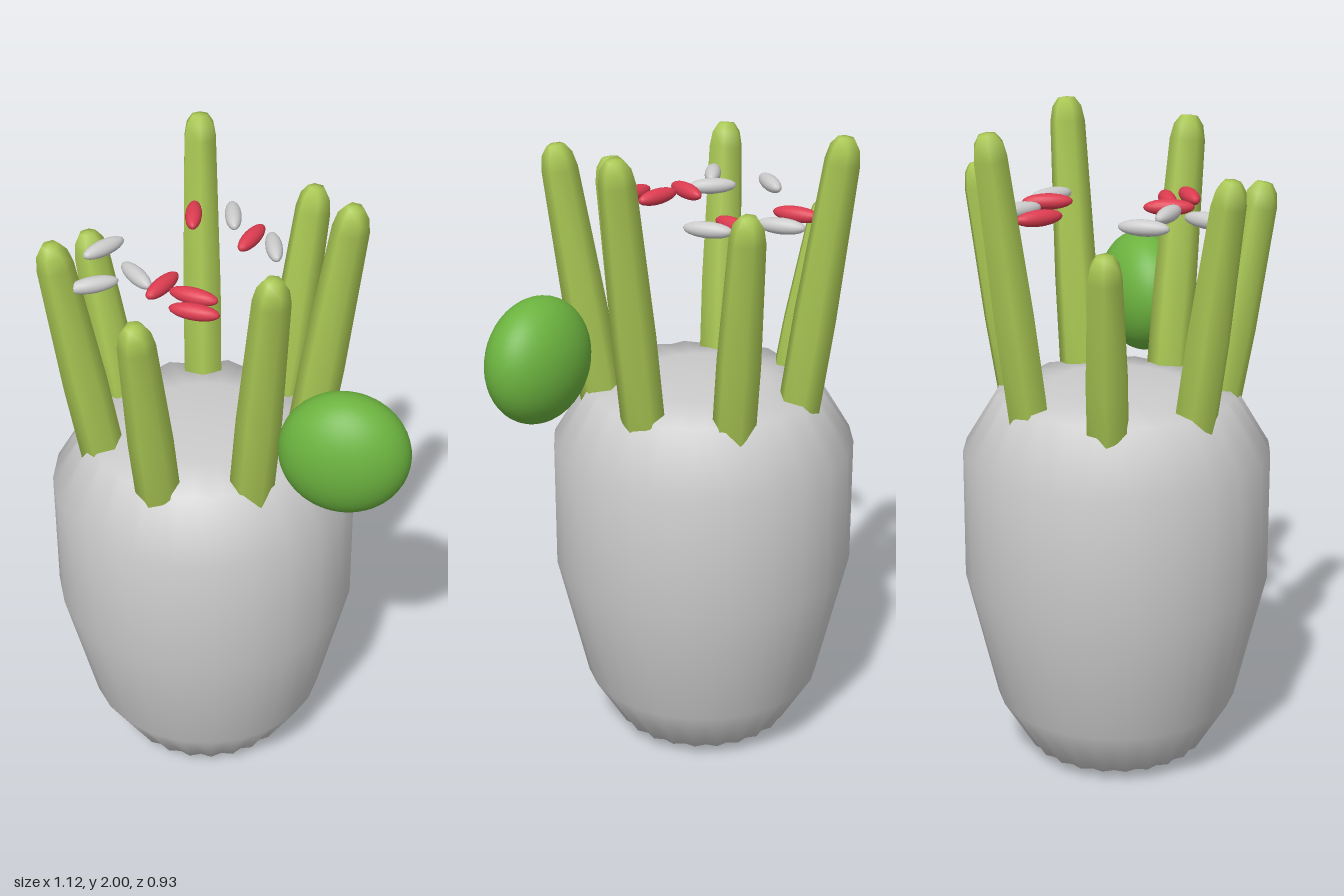
import * as THREE from 'three';
import { mergeVertices } from 'three/addons/utils/BufferGeometryUtils.js';

const AXIS_X = -0.1; // centre line of the pot

const material = (color) => new THREE.MeshStandardMaterial({ color });

// Lathe with welded seam and smooth normals; shape(v) may move each vertex
function smoothLathe(profile, segments, shape) {
  const points = profile.map(([r, y]) => new THREE.Vector2(r, y));
  const lathe = new THREE.LatheGeometry(points, segments);
  lathe.deleteAttribute('uv');
  lathe.deleteAttribute('normal');
  const geometry = mergeVertices(lathe, 1e-4);
  const pos = geometry.attributes.position;
  const v = new THREE.Vector3();
  for (let i = 0; shape && i < pos.count; i++) {
    v.fromBufferAttribute(pos, i);
    shape(v);
    pos.setXYZ(i, v.x, v.y, v.z);
  }
  geometry.computeVertexNormals();
  return geometry;
}

function ellipsoid(name, mat, size, position, segments) {
  const mesh = new THREE.Mesh(new THREE.SphereGeometry(1, segments, segments / 2), mat);
  mesh.name = name;
  mesh.scale.set(...size);
  mesh.position.set(...position);
  return mesh;
}

export function createModel() {
  const model = new THREE.Group();
  model.name = 'plantedPot';
  const grey = material(0xcccccc);
  const stalkGreen = material(0xaac854);
  const fruitGreen = material(0x6cb33f);
  const red = material(0xdc3c50);

  // Pot: faceted barrel whose narrow rims are finely fluted
  const flutes = 24;
  const potProfile = [[0, 0], [0.27, 0.037], [0.37, 0.2], [0.465, 0.6],
    [0.465, 1], [0.36, 1.175], [0.2, 1.195], [0, 1.205]];
  const pot = new THREE.Mesh(smoothLathe(potProfile, flutes * 2, (v) => {
    const step = Math.round(Math.atan2(v.x, v.z) / (Math.PI / flutes));
    if (step % 2 === 0) return;
    const rim = Math.abs(v.y - 0.037) < 0.01 || Math.abs(v.y - 1.175) < 0.01;
    const k = rim ? 0.95 : Math.cos(Math.PI / flutes);
    v.x *= k;
    v.z *= k;
  }), grey);
  pot.name = 'pot';
  pot.position.x = AXIS_X;
  model.add(pot);

  // Ring of seven six-sided stalks leaning outwards
  const stalks = new THREE.Group();
  stalks.name = 'stalks';
  const stalkTops = [1.99, 1.94, 1.8, 1.88, 1.7, 2, 1.845];
  const up = new THREE.Vector3(0, 1, 0);
  stalkTops.forEach((top, i) => {
    const a = (i / stalkTops.length) * Math.PI * 2;
    const base = new THREE.Vector3(0.29, 1, 0);
    const lean = new THREE.Vector3(0.435, top, 0).sub(base);
    const h = lean.length();
    const profile = [[0, 0], [0.066, 0], [0.066, h * 0.45], [0.054, h - 0.075],
      [0.045, h - 0.03], [0.026, h - 0.003], [0, h]];
    const geometry = smoothLathe(profile, 6);
    geometry.rotateY(Math.PI / 6); // a corner points outwards
    const stalk = new THREE.Mesh(geometry, stalkGreen);
    stalk.name = 'stalk';
    stalk.position.copy(base);
    stalk.quaternion.setFromUnitVectors(up, lean.normalize());
    const pivot = new THREE.Group();
    pivot.name = 'stalkPivot';
    pivot.position.x = AXIS_X;
    pivot.rotation.y = -a;
    pivot.add(stalk);
    stalks.add(pivot);
  });
  model.add(stalks);

  // Oval fruit at the front left
  model.add(ellipsoid('fruit', fruitGreen, [0.192, 0.192, 0.13], [0.368, 1.344, 0.266], 48));

  // Floating grains: [colour, x1, z1, x2, z2] from end to end
  const grains = new THREE.Group();
  grains.name = 'grains';
  [
    [red, -0.195, -0.33, -0.175, -0.21], [grey, -0.088, -0.365, -0.05, -0.217],
    [red, 0.03, -0.25, -0.012, -0.105], [grey, 0.06, -0.213, 0.105, -0.068],
    [grey, -0.355, 0.098 - 0.196, -0.445, 0.025], [grey, -0.325, 0.035, -0.218, 0.145],
    [red, -0.16, 0.055, -0.215, 0.198], [red, -0.163, 0.147, -0.015, 0.178],
    [red, -0.145, 0.233, 0.005, 0.248], [grey, -0.443, 0.2, -0.315, 0.123],
  ].forEach(([mat, x1, z1, x2, z2]) => {
    const grain = ellipsoid('grain', mat, [0.075, 0.024, 0.025],
      [(x1 + x2) / 2, 1.745, (z1 + z2) / 2], 20);
    grain.rotation.y = -Math.atan2(z2 - z1, x2 - x1);
    grains.add(grain);
  });
  model.add(grains);

  return model;
}
